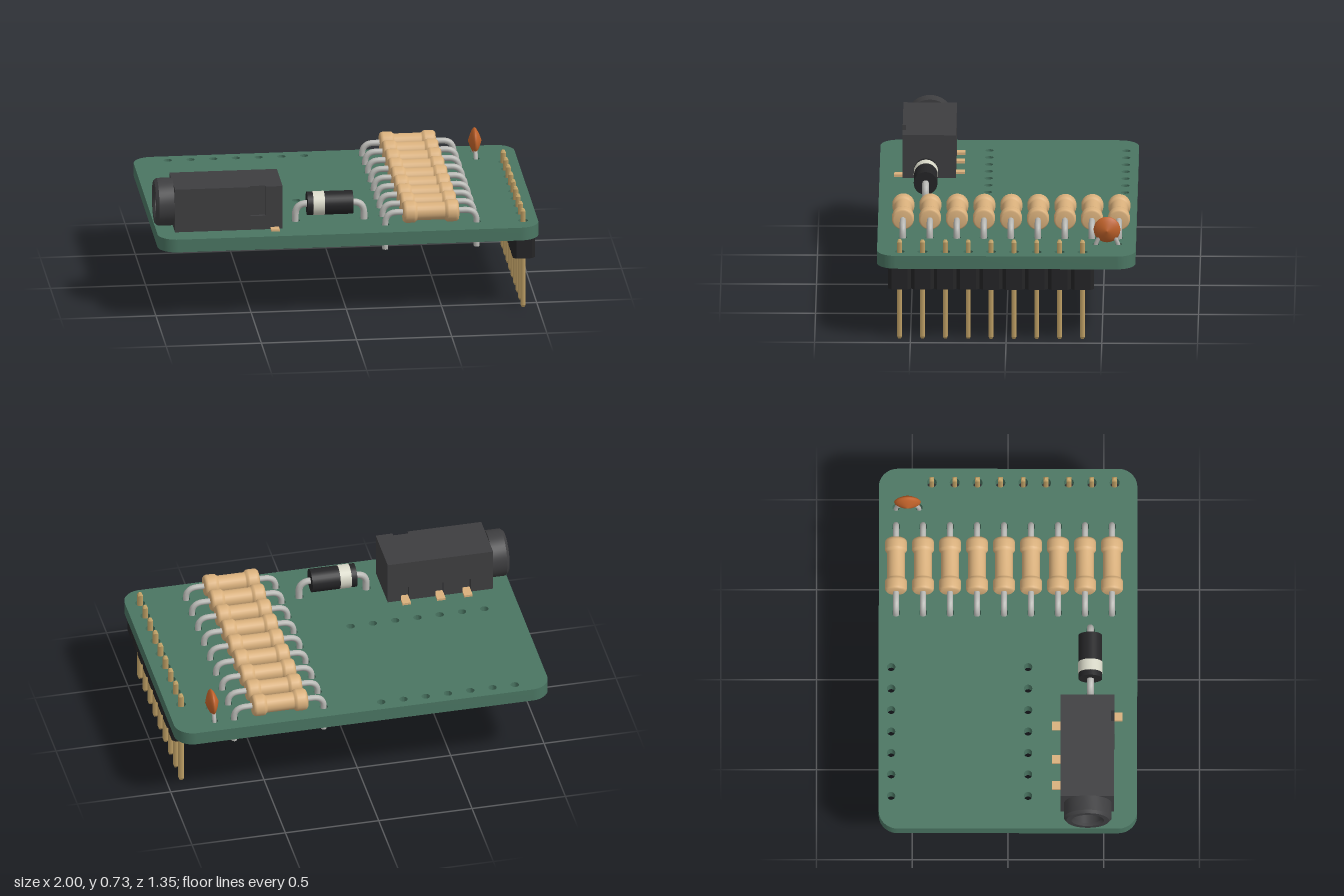
import * as THREE from 'three';
import { toCreasedNormals } from 'three/addons/utils/BufferGeometryUtils.js';

const mat = (color) => new THREE.MeshStandardMaterial({ color });
const green = mat(0x4a7562), steel = mat(0xb8b8b4), tan = mat(0xd9b07c), gold = mat(0xc4a468);
const black = mat(0x242426), charcoal = mat(0x3e3e40), cream = mat(0xd8d8c8), orange = mat(0xc0622a);
const V = (x, y, z) => new THREE.Vector3(x, y, z);
const P = (x, y) => new THREE.Vector2(x, y);

const BOTTOM = 0.405, TOP = 0.475;
const RES_X = [0.2, 0.68], DIODE_X = [-0.26, 0.1], DIODE_Z = 0.43;
const resistorZ = Array.from({ length: 9 }, (_, i) => -0.585 + i * 0.141);
const pinZ = Array.from({ length: 9 }, (_, i) => -0.398 + i * 0.1193);
const PIN_X = 0.922, CAP = V(0.785, 0.555, -0.525);

function add(parent, name, geometry, material, x = 0, y = 0, z = 0) {
  const mesh = new THREE.Mesh(geometry, material);
  mesh.name = name;
  mesh.position.set(x, y, z);
  parent.add(mesh);
  return mesh;
}

function group(parent, name) {
  const g = new THREE.Group();
  g.name = name;
  parent.add(g);
  return g;
}

function addHole(shape, x, y, r) {
  const p = new THREE.Path();
  p.absarc(x, y, r, 0, Math.PI * 2, true);
  shape.holes.push(p);
}

// Extrudes a plan outline (x, z) downwards from y = 0
function slab(shape, height) {
  const g = new THREE.ExtrudeGeometry(shape, { depth: height, bevelEnabled: false, curveSegments: 10 });
  return g.rotateX(Math.PI / 2);
}

function makeBoard(root) {
  const s = new THREE.Shape(), w = 1, h = 0.675, r = 0.1;
  s.absarc(w - r, h - r, r, 0, Math.PI / 2);
  s.absarc(-w + r, h - r, r, Math.PI / 2, Math.PI);
  s.absarc(-w + r, -h + r, r, Math.PI, Math.PI * 1.5);
  s.absarc(w - r, -h + r, r, Math.PI * 1.5, Math.PI * 2);
  for (const z of [-0.61, 0.105])
    for (let i = 0; i < 7; i++) addHole(s, -0.818 + i * 0.1193, z, 0.022);
  for (const z of resistorZ) for (const x of RES_X) addHole(s, x, z, 0.022);
  for (const x of DIODE_X) addHole(s, x, DIODE_Z, 0.024);
  for (const z of pinZ) addHole(s, PIN_X, z, 0.026);
  for (const d of [-0.06, 0.06]) addHole(s, CAP.x, CAP.z + d, 0.019);
  for (const x of [-0.5, -0.82]) addHole(s, x, 0.417, 0.035);
  add(root, 'circuitBoard', toCreasedNormals(slab(s, TOP - BOTTOM), 0.7), green, 0, TOP, 0);
}

// Wire staple: up through the board, across at height y, and down again
function makeLead(parent, [x0, x1], bottom, y, r) {
  const b = 0.06, path = new THREE.CurvePath();
  path.add(new THREE.LineCurve3(V(x0, bottom, 0), V(x0, y - b, 0)));
  path.add(new THREE.QuadraticBezierCurve3(V(x0, y - b, 0), V(x0, y, 0), V(x0 + b, y, 0)));
  path.add(new THREE.LineCurve3(V(x0 + b, y, 0), V(x1 - b, y, 0)));
  path.add(new THREE.QuadraticBezierCurve3(V(x1 - b, y, 0), V(x1, y, 0), V(x1, y - b, 0)));
  path.add(new THREE.LineCurve3(V(x1, y - b, 0), V(x1, bottom, 0)));
  add(parent, 'lead', new THREE.TubeGeometry(path, 60, r, 10), steel);
  for (const x of [x0, x1])
    add(parent, 'leadEnd', new THREE.CircleGeometry(r, 10).rotateX(Math.PI / 2), steel, x, bottom, 0);
}

function makeResistor(root, z) {
  const g = group(root, 'resistor');
  g.position.z = z;
  const half = [P(0.046, 0.07), P(0.05, 0.076), P(0.057, 0.084), P(0.058, 0.092),
    P(0.058, 0.128), P(0.055, 0.138), P(0.047, 0.146), P(0, 0.147)];
  const profile = [...half.map((p) => P(p.x, -p.y)).reverse(), ...half];
  const body = new THREE.LatheGeometry(profile, 24).rotateZ(-Math.PI / 2);
  add(g, 'resistorBody', body, tan, 0.438, 0.54, 0);
  makeLead(g, RES_X, 0.34, 0.54, 0.016);
}

function makeDiode(root) {
  const g = group(root, 'diode');
  g.position.z = DIODE_Z;
  const drum = (r, len) => new THREE.CylinderGeometry(r, r, len, 28).rotateZ(Math.PI / 2);
  add(g, 'diodeBody', drum(0.062, 0.24), black, -0.08, 0.567, 0);
  add(g, 'diodeBand', drum(0.0635, 0.06), cream, -0.14, 0.567, 0);
  makeLead(g, DIODE_X, 0.365, 0.567, 0.018);
}

function makeCapacitor(root) {
  const g = group(root, 'discCapacitor');
  g.position.copy(CAP);
  // Lens-shaped disc with a thin rim
  const profile = [];
  for (let i = -6; i <= 6; i++) {
    const t = i / 6;
    profile.push(P(0.07 * (1 - Math.abs(t) ** 1.6), 0.036 * t));
  }
  const lens = new THREE.LatheGeometry(profile, 28).rotateZ(-Math.PI / 2);
  add(g, 'capacitorBody', lens, orange);
  for (const s of [-1, 1]) {
    const path = new THREE.CatmullRomCurve3(
      [V(0, -0.17, s * 0.06), V(0, -0.09, s * 0.06), V(0, -0.065, s * 0.052), V(0, -0.03, s * 0.035)]);
    add(g, 'capacitorLead', new THREE.TubeGeometry(path, 14, 0.011, 8), steel);
    add(g, 'leadEnd', new THREE.CircleGeometry(0.011, 8).rotateX(Math.PI / 2), steel, 0, -0.17, s * 0.06);
  }
}

function makeHeader(root) {
  const g = group(root, 'pinHeader');
  // Chamfered plan of one housing block
  const a = 0.058, b = 0.0597, c = 0.018;
  const plan = new THREE.Shape([P(a, -b + c), P(a, b - c), P(a - c, b), P(-a + c, b),
    P(-a, b - c), P(-a, -b + c), P(-a + c, -b), P(a - c, -b)]);
  const block = slab(plan, 0.12);
  const w = 0.0125 * Math.SQRT2, tip = 0.012;
  const square = (top, bottom, h) =>
    new THREE.CylinderGeometry(top, bottom, h, 4).rotateY(Math.PI / 4).toNonIndexed();
  const parts = [
    ['pinShaft', square(w, w, 0.54 - 2 * tip), 0.27],
    ['pinTopTip', square(w * 0.55, w, tip), 0.54 - tip / 2],
    ['pinBottomTip', square(w, w * 0.55, tip), tip / 2],
  ];
  for (const z of pinZ) {
    add(g, 'headerBlock', block, black, PIN_X, BOTTOM, z);
    for (const [name, geo, y] of parts) add(g, name, geo, gold, PIN_X, y, z);
  }
}

function makeJack(root) {
  const g = group(root, 'audioJack');
  const back = 0.275, front = 0.555, roof = 0.71, cy = 0.6, cz = 0.417, bore = 0.072;
  const slots = [[-0.785, -0.74], [-0.64, -0.595], [-0.455, -0.41]], notch = [-0.51, -0.43];
  const within = (x, [a, b]) => x > a && x < b;

  // Body in slices along x, each with its own cross-section
  const cuts = [-0.905, ...slots.flat(), ...notch, -0.34].sort((a, b) => a - b);
  for (let i = 0; i < cuts.length - 1; i++) {
    const mid = (cuts[i] + cuts[i + 1]) / 2;
    const fz = within(mid, notch) ? front - 0.018 : front;
    const bz = slots.some((s) => within(mid, s)) ? back + 0.03 : back;
    const outline = [P(-front, TOP), P(-bz, TOP), P(-bz, 0.555), P(-back, 0.555),
      P(-back, roof), P(-fz, roof), P(-fz, 0.55), P(-front, 0.55)];
    const s = new THREE.Shape(outline.filter((p, k) => k === 0 || !p.equals(outline[k - 1])));
    if (i < cuts.length - 2) addHole(s, -cz, cy, bore);
    const geo = new THREE.ExtrudeGeometry(s,
      { depth: cuts[i + 1] - cuts[i], bevelEnabled: false, curveSegments: 14 });
    add(g, 'jackBody', geo.rotateY(Math.PI / 2), charcoal, cuts[i], 0, 0);
  }

  // Round socket collar
  const collar = new THREE.LatheGeometry([P(bore, 0), P(0.125, 0), P(0.125, 0.08),
    P(0.112, 0.095), P(0.085, 0.095), P(bore, 0.083), P(bore, 0)], 36);
  add(g, 'socketCollar', toCreasedNormals(collar.rotateZ(Math.PI / 2), 0.5), charcoal, -0.905, cy, cz);

  // Solder tabs
  for (const [a, b] of slots)
    add(g, 'solderTab', new THREE.BoxGeometry(b - a, 0.012, 0.085), tan, (a + b) / 2, TOP + 0.006, 0.2725);
  add(g, 'solderTab', new THREE.BoxGeometry(0.045, 0.012, 0.08), tan, -0.382, TOP + 0.006, 0.558);
}

export function createModel() {
  const root = new THREE.Group();
  root.name = 'circuitBoardAssembly';
  makeBoard(root);
  for (const z of resistorZ) makeResistor(root, z);
  makeDiode(root);
  makeCapacitor(root);
  makeHeader(root);
  makeJack(root);
  return root;
}
